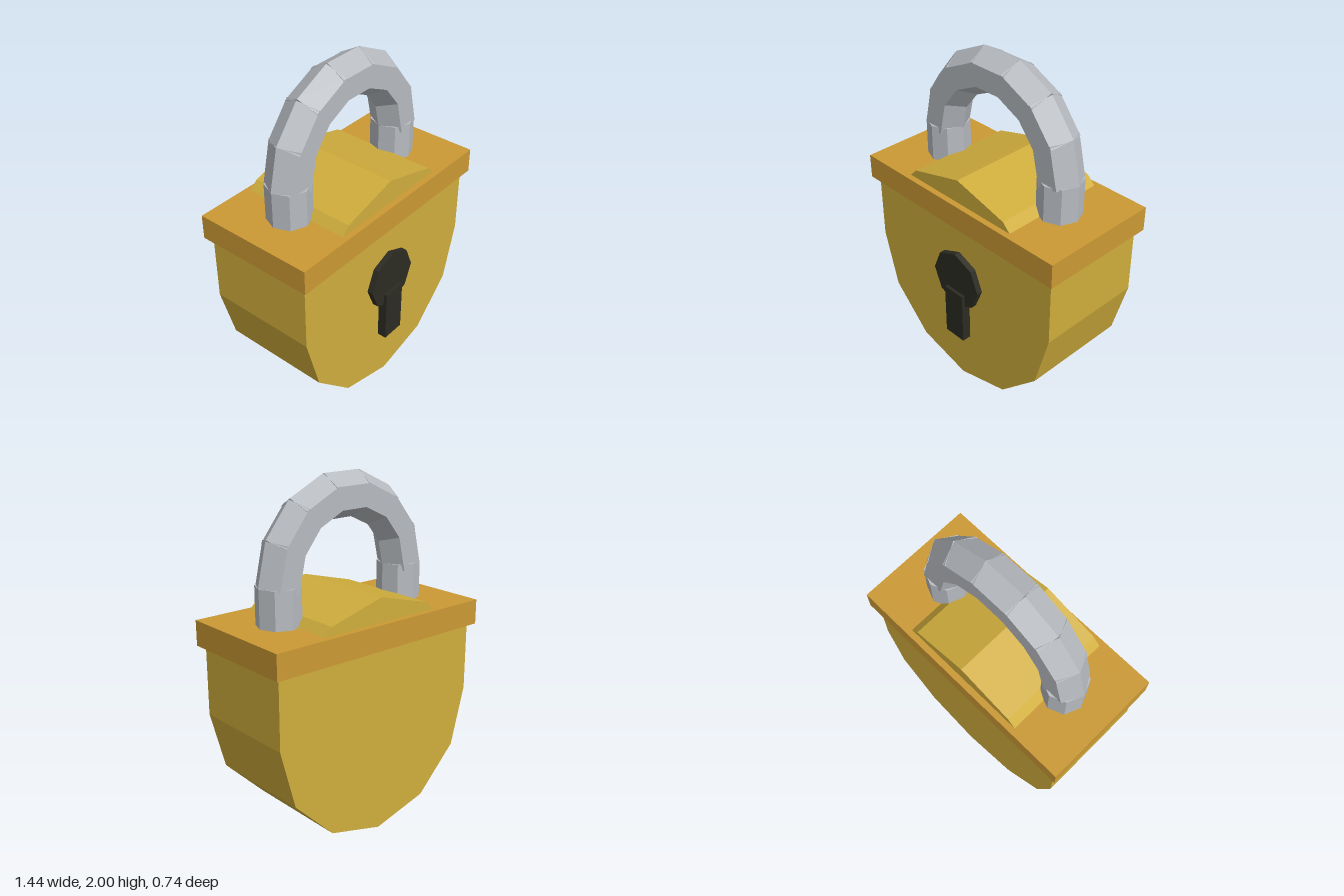
import * as THREE from 'three';

const Z = -0.01; // mid-plane of the lock

function material(name, color) {
  const m = new THREE.MeshStandardMaterial({ color });
  m.name = name;
  return m;
}

export function createModel() {
  const lock = new THREE.Group();
  lock.name = 'padlock';
  const brass = material('brass', 0xcfad3c);
  const bronze = material('bronze', 0xcb9934);
  const steel = material('steel', 0xb7bbc0);
  const dark = material('dark', 0x2c2b22);

  // Faceted parts: split vertices so every face is flat
  function add(name, geometry, mat, x, y, z, parent = lock) {
    const flat = geometry.index ? geometry.toNonIndexed() : geometry;
    flat.computeVertexNormals();
    const mesh = new THREE.Mesh(flat, mat);
    mesh.name = name;
    mesh.position.set(x, y, z);
    parent.add(mesh);
    return mesh;
  }

  // Body: half a twelve-sided drum below, straight sides, and the drum's crown on top
  const R = 0.688;
  const at = (deg) => {
    const a = THREE.MathUtils.degToRad(deg);
    return new THREE.Vector2(R * Math.cos(a), R + R * Math.sin(a));
  };
  const profile = [];
  for (let deg = 180; deg <= 360; deg += 30) profile.push(at(deg));
  profile.push(new THREE.Vector2(R, 1.15), new THREE.Vector2(0.476, 1.15));
  for (let deg = 60; deg <= 120; deg += 30) profile.push(at(deg));
  profile.push(new THREE.Vector2(-0.476, 1.15), new THREE.Vector2(-R, 1.15));
  const body = new THREE.ExtrudeGeometry(new THREE.Shape(profile), { depth: 0.65, bevelEnabled: false });
  add('body', body, brass, 0, 0, Z - 0.325);

  // Collar slab
  add('collar', new THREE.BoxGeometry(1.444, 0.145, 0.72), bronze, 0, 1.1625, Z);

  // Shackle: two octagonal legs and an arch of seven hexagonal bars
  const shackle = new THREE.Group();
  shackle.name = 'shackle';
  lock.add(shackle);
  for (const [name, side] of [['leftLeg', 1], ['rightLeg', -1]]) {
    add(name, new THREE.CylinderGeometry(0.125, 0.125, 0.27, 8), steel, side * 0.435, 1.315, Z, shackle);
  }
  const count = 7;
  for (let i = 0; i < count; i++) {
    const a = ((i + 0.5) / count) * Math.PI;
    const bar = new THREE.CylinderGeometry(0.125, 0.125, 0.243, 6, 1, false, Math.PI / 2);
    add('archBar' + (i + 1), bar, steel, 0.425 * Math.cos(a), 1.45 + 0.425 * Math.sin(a), Z, shackle).rotation.z = a;
  }

  // Keyhole
  const disc = new THREE.CylinderGeometry(0.179, 0.179, 0.07, 8).rotateX(Math.PI / 2);
  add('keyholeDisc', disc, dark, 0, 0.728, 0.315);
  add('keyholeSlot', new THREE.BoxGeometry(0.144, 0.325, 0.09), dark, 0, 0.4925, 0.325);

  return lock;
}
